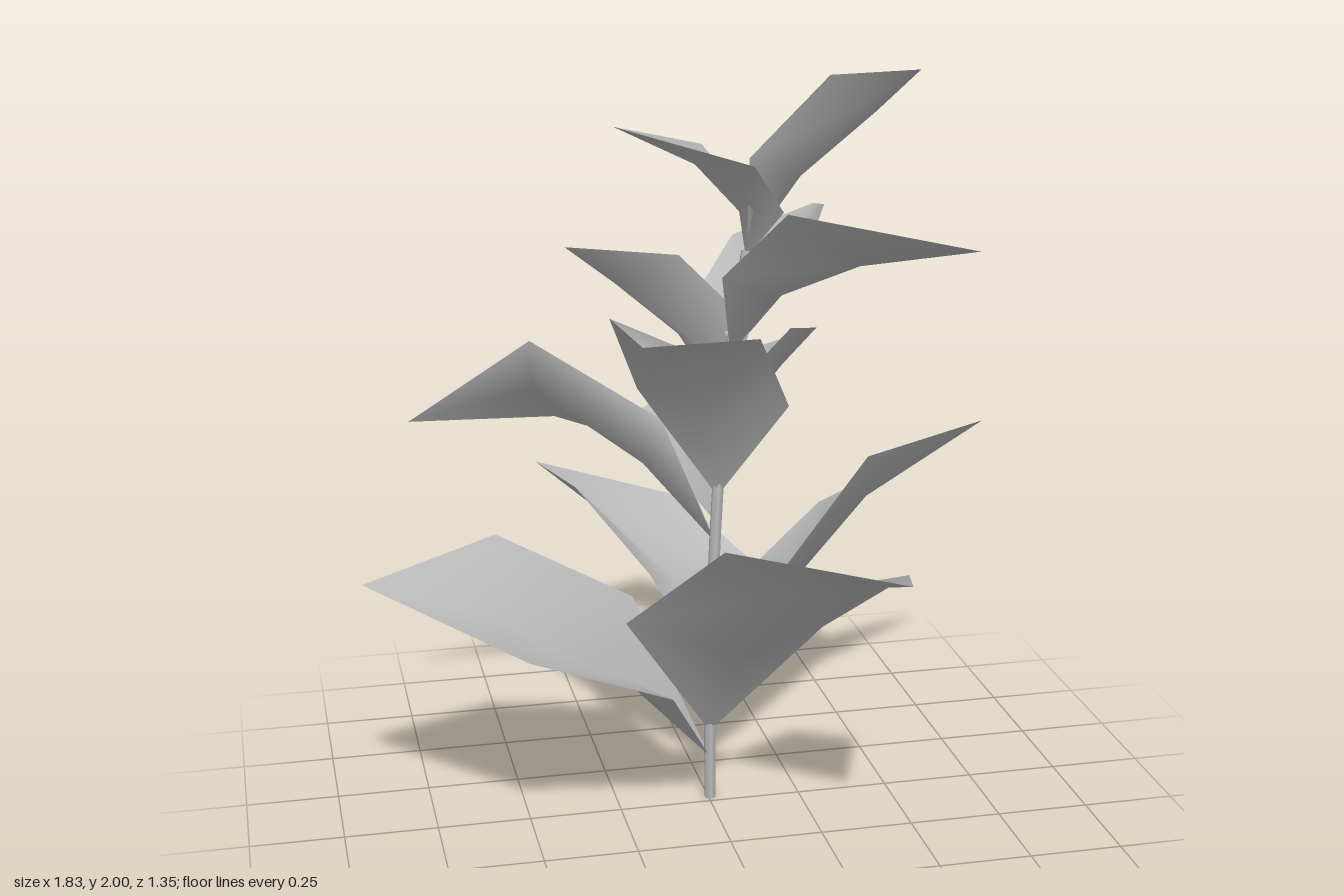
import * as THREE from 'three';

const V = (p) => new THREE.Vector3(...p);

export function createModel() {
  const plant = new THREE.Group();
  plant.name = 'plant';
  const grey = new THREE.MeshStandardMaterial({ color: 0xb8b8b8, side: THREE.DoubleSide });
  grey.name = 'plant grey';

  // stem: thin tube leaning gently right and back
  const stemCurve = new THREE.CatmullRomCurve3([
    V([0.005, 0, -0.028]), V([0.005, 0.3, -0.028]), V([0.025, 0.85, -0.035]),
    V([0.06, 1.2, -0.06]), V([0.12, 1.52, -0.1]),
  ]);
  const stem = new THREE.Mesh(new THREE.TubeGeometry(stemCurve, 12, 0.016, 6), grey);
  stem.name = 'stem';
  plant.add(stem);

  // closing discs at both ends of the stem
  for (const [t, tilt] of [[0, Math.PI / 2], [1, -Math.PI / 2]]) {
    const cap = new THREE.Mesh(new THREE.CircleGeometry(0.016, 6), grey);
    cap.name = 'stemEnd';
    cap.position.copy(stemCurve.getPointAt(t));
    cap.rotation.x = tilt;
    plant.add(cap);
  }

  // point on the stem at a given height
  function stemAt(y) {
    let best = stemCurve.getPoint(0);
    for (let i = 1; i <= 200; i++) {
      const p = stemCurve.getPoint(i / 200);
      if (Math.abs(p.y - y) < Math.abs(best.y - y)) best = p;
    }
    return best;
  }

  // folded leaf: rises from the stem, widens to two shoulders, bends over to the tip
  // cup: sag of the midrib between the shoulders; skew: sideways drift of the lower half;
  // spread: width of the lower half against the shoulders; raise: lift of its edges
  function addLeaf(name, baseY, tipPos, shoulderA, shoulderB,
    { cup = 0.36, skew = 0.1, spread = 1.05, raise = 0.18 } = {}) {
    const base = stemAt(baseY), tip = V(tipPos);
    let a = V(shoulderA), b = V(shoulderB);
    const mid = a.clone().add(b).multiplyScalar(0.5);
    const along = mid.clone().sub(base);
    const up = along.clone().cross(b.clone().sub(a)).normalize();
    if (up.y < 0) {
      up.negate();
      [a, b] = [b, a];
    }
    const half = b.clone().sub(a).multiplyScalar(0.5);
    const len = along.length();
    const side = new THREE.Vector3(along.z, 0, -along.x).normalize();

    // lower row: flatter roll, edges raised above the midrib
    const lowHalf = half.clone().multiply(V([spread, 0.65 * spread, spread]));
    const rib = base.clone().addScaledVector(along, 0.45).addScaledVector(up, 0.02 * len)
      .addScaledVector(side, -0.5 * skew * len);
    const edge = base.clone().addScaledVector(along, 0.45).addScaledVector(up, raise * len)
      .addScaledVector(side, -skew * len);
    const lowA = edge.clone().sub(lowHalf), lowB = edge.clone().add(lowHalf);
    // upper row: midrib sags between the shoulders
    const upper = mid.clone().addScaledVector(up, -cup * half.length());

    const geometry = new THREE.BufferGeometry().setFromPoints([base, lowA, rib, lowB, a, upper, b, tip]);
    geometry.setIndex([
      0, 2, 1, 0, 3, 2,
      1, 2, 5, 1, 5, 4, 2, 3, 6, 2, 6, 5,
      4, 5, 7, 5, 6, 7,
    ]);
    geometry.computeVertexNormals();
    const leaf = new THREE.Mesh(geometry, grey);
    leaf.name = name;
    plant.add(leaf);
  }

  // large bottom leaves
  addLeaf('bottomLeafRight', 0.12, [-0.92, 0.70, -0.03], [-0.53, 0.575, 0.29], [-0.555, 0.77, -0.15], { spread: 1 });
  addLeaf('bottomLeafFront', 0.20, [0.35, 0.85, 0.67], [-0.05, 0.87, 0.39], [0.455, 0.74, 0.31], { cup: 0.3, spread: 1.1 });
  addLeaf('bottomLeafLeft', 0.30, [0.91, 0.905, -0.45], [0.455, 0.94, -0.08], [0.42, 0.69, -0.45], { skew: 0.13 });
  addLeaf('bottomLeafBack', 0.36, [-0.37, 0.80, -0.67], [-0.31, 0.83, -0.32], [0.02, 0.72, -0.51], { cup: 0.6, skew: 0.05 });
  // middle leaves
  addLeaf('middleLeafRight', 0.75, [-0.76, 1.05, -0.31], [-0.445, 1.285, -0.195], [-0.36, 1.03, -0.345], { cup: 0.25, skew: 0.07, spread: 0.8 });
  addLeaf('middleLeafBack', 0.80, [0.47, 1.15, -0.68], [0.295, 1.25, -0.31], [0.14, 1.08, -0.63], { cup: 0.6, skew: -0.05, spread: 1.1, raise: 0.28 });
  addLeaf('middleLeafFront', 0.87, [-0.27, 1.43, 0.48], [0.07, 1.375, 0.255], [-0.28, 1.405, 0.085], { skew: 0 });
  // upper leaves
  addLeaf('upperLeafRight', 1.12, [-0.36, 1.55, -0.11], [-0.205, 1.41, -0.32], [-0.065, 1.52, -0.09], { cup: 0.8 });
  addLeaf('upperLeafFront', 1.25, [0.59, 1.60, 0.39], [0.155, 1.67, 0.185], [0.45, 1.51, -0.09], { cup: 0.6, skew: 0.03, spread: 0.8 });
  addLeaf('upperLeafBack', 1.27, [0.40, 1.56, -0.485], [0.36, 1.61, -0.22], [0.15, 1.50, -0.40], { cup: 0.55 });
  // top pair
  addLeaf('topLeafRight', 1.50, [-0.24, 1.865, -0.05], [0.03, 1.78, -0.245], [0.10, 1.77, 0.06], { cup: 0.6, skew: 0.03, spread: 0.75, raise: 0.28 });
  addLeaf('topLeafLeft', 1.52, [0.53, 2.0, 0.06], [0.31, 1.985, 0], [0.485, 1.86, -0.175]);

  return plant;
}
